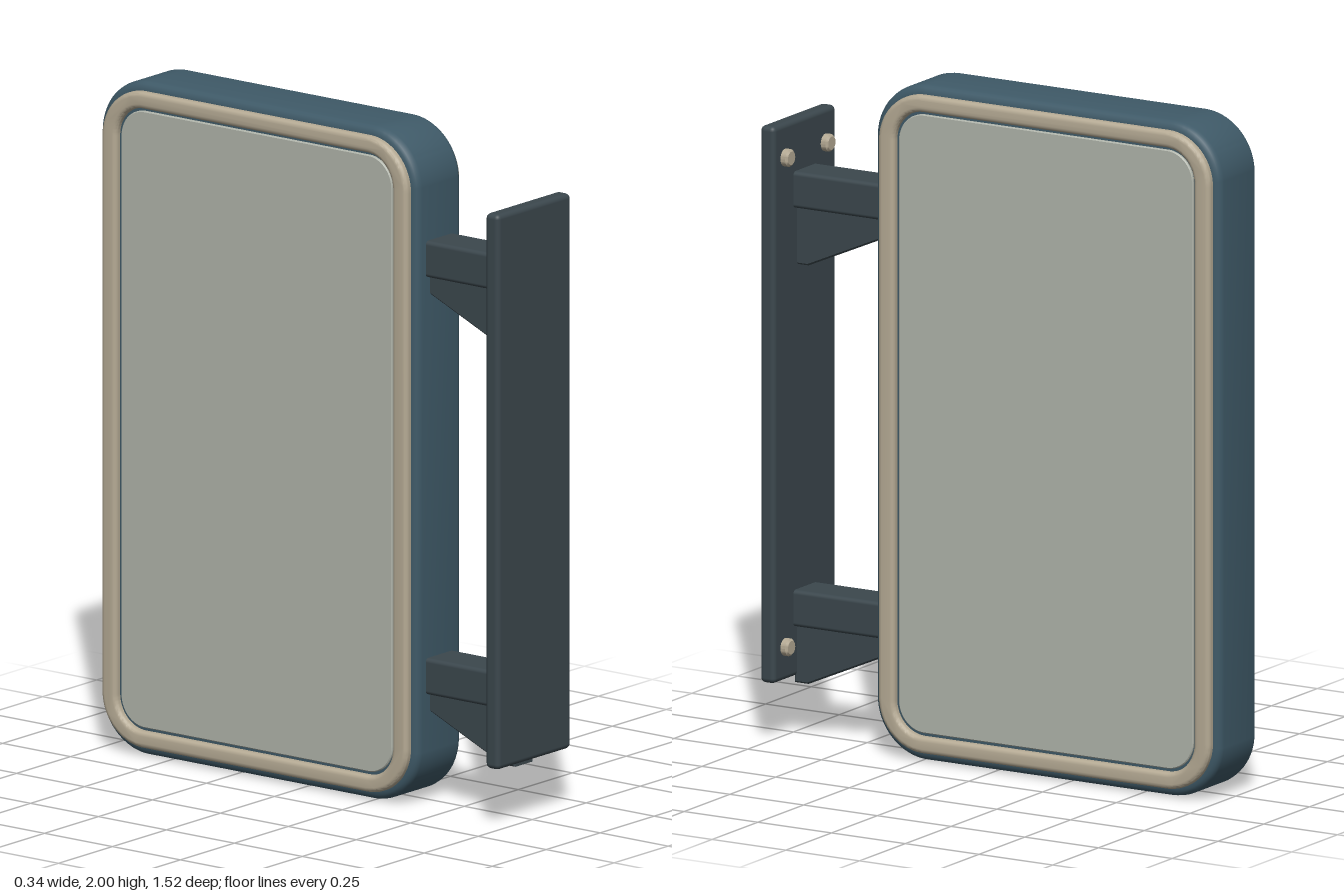
import * as THREE from 'three';
import { toCreasedNormals } from 'three/addons/utils/BufferGeometryUtils.js';
import { RoundedBoxGeometry } from 'three/addons/geometries/RoundedBoxGeometry.js';

const paint = (color) => new THREE.MeshStandardMaterial({ color });
const bodyPaint = paint(0x3f5a68);
const steel = paint(0x3b474d);
const trim = paint(0xb5aa94);
const glass = paint(0xb0b4aa);

const CENTER_Y = 1, CENTER_Z = -0.175;

// Rounded rectangle centred on the origin
function roundedRect(w, h, r, Type = THREE.Shape) {
  const s = new Type(), x = w / 2, y = h / 2;
  s.moveTo(x, -y + r);
  s.absarc(x - r, y - r, r, 0, Math.PI / 2);
  s.absarc(-x + r, y - r, r, Math.PI / 2, Math.PI);
  s.absarc(-x + r, -y + r, r, Math.PI, Math.PI * 1.5);
  s.absarc(x - r, -y + r, r, Math.PI * 1.5, Math.PI * 2);
  return s;
}

// Extrude sideways: overall thickness t along x, centred, bevel b included
function slab(shape, t, b, segments = 4) {
  const g = new THREE.ExtrudeGeometry(shape, {
    depth: t - 2 * b, bevelEnabled: b > 0, bevelSize: b, bevelThickness: b,
    bevelSegments: segments, curveSegments: 14,
  });
  g.translate(0, 0, -(t - 2 * b) / 2).rotateY(Math.PI / 2);
  return toCreasedNormals(g, 0.6);
}

export function createModel() {
  const model = new THREE.Group();
  model.name = 'wallSign';

  function add(parent, name, geometry, material, x = 0, y = 0, z = 0) {
    const m = new THREE.Mesh(geometry, material);
    m.name = name;
    m.position.set(x, y, z);
    parent.add(m);
    return m;
  }

  // Sign box with softened edges
  const e = 0.025;
  add(model, 'signBody', slab(roundedRect(1.17 - 2 * e, 2 - 2 * e, 0.17 - e), 0.21, e),
    bodyPaint, 0, CENTER_Y, CENTER_Z);

  // Trim ring and display panel on both faces
  const b = 0.014;
  const ring = roundedRect(1.125 - 2 * b, 1.95 - 2 * b, 0.15 - b);
  ring.holes.push(roundedRect(1.015 + 2 * b, 1.85 + 2 * b, 0.095 + b, THREE.Path));
  const ringGeometry = slab(ring, 0.042, b);
  const panelGeometry = slab(roundedRect(0.992, 1.827, 0.084), 0.02, 0.003, 1);
  for (const [side, s] of [['left', 1], ['right', -1]]) {
    add(model, side + 'TrimRing', ringGeometry, trim, s * 0.106, CENTER_Y, CENTER_Z);
    add(model, side + 'Panel', panelGeometry, glass, s * 0.103, CENTER_Y, CENTER_Z);
  }

  // Wall plate
  add(model, 'wallPlate', new RoundedBoxGeometry(0.34, 1.65, 0.05, 3, 0.015), steel,
    0, 1.005, 0.735);

  // Arms, each braced by a tapered gusset
  const gusset = new THREE.Shape([
    [-0.715, 0.01], [-0.715, -0.165], [-0.675, -0.165], [-0.39, -0.04], [-0.39, 0.01],
  ].map(([u, v]) => new THREE.Vector2(u, v)));
  const gussetGeometry = slab(gusset, 0.09, 0.005, 1);
  const armGeometry = new RoundedBoxGeometry(0.13, 0.108, 0.36, 3, 0.012);
  for (const [name, y] of [['upper', 1.57], ['lower', 0.33]]) {
    const bracket = new THREE.Group();
    bracket.name = name + 'Bracket';
    bracket.position.y = y;
    model.add(bracket);
    add(bracket, 'arm', armGeometry, steel, 0, 0.054, 0.555);
    add(bracket, 'gusset', gussetGeometry, steel);
  }

  // Bolt heads on the rear of the plate
  const boltProfile = [[0, -0.012], [0.026, -0.012], [0.026, 0.008], [0.02, 0.014], [0, 0.014]]
    .map(([r, y]) => new THREE.Vector2(r, y));
  const boltGeometry = toCreasedNormals(
    new THREE.LatheGeometry(boltProfile, 20).rotateX(-Math.PI / 2), 0.5);
  for (const x of [-0.11, 0.11]) {
    for (const y of [0.28, 1.73]) add(model, 'bolt', boltGeometry, trim, x, y, 0.702);
  }

  return model;
}
